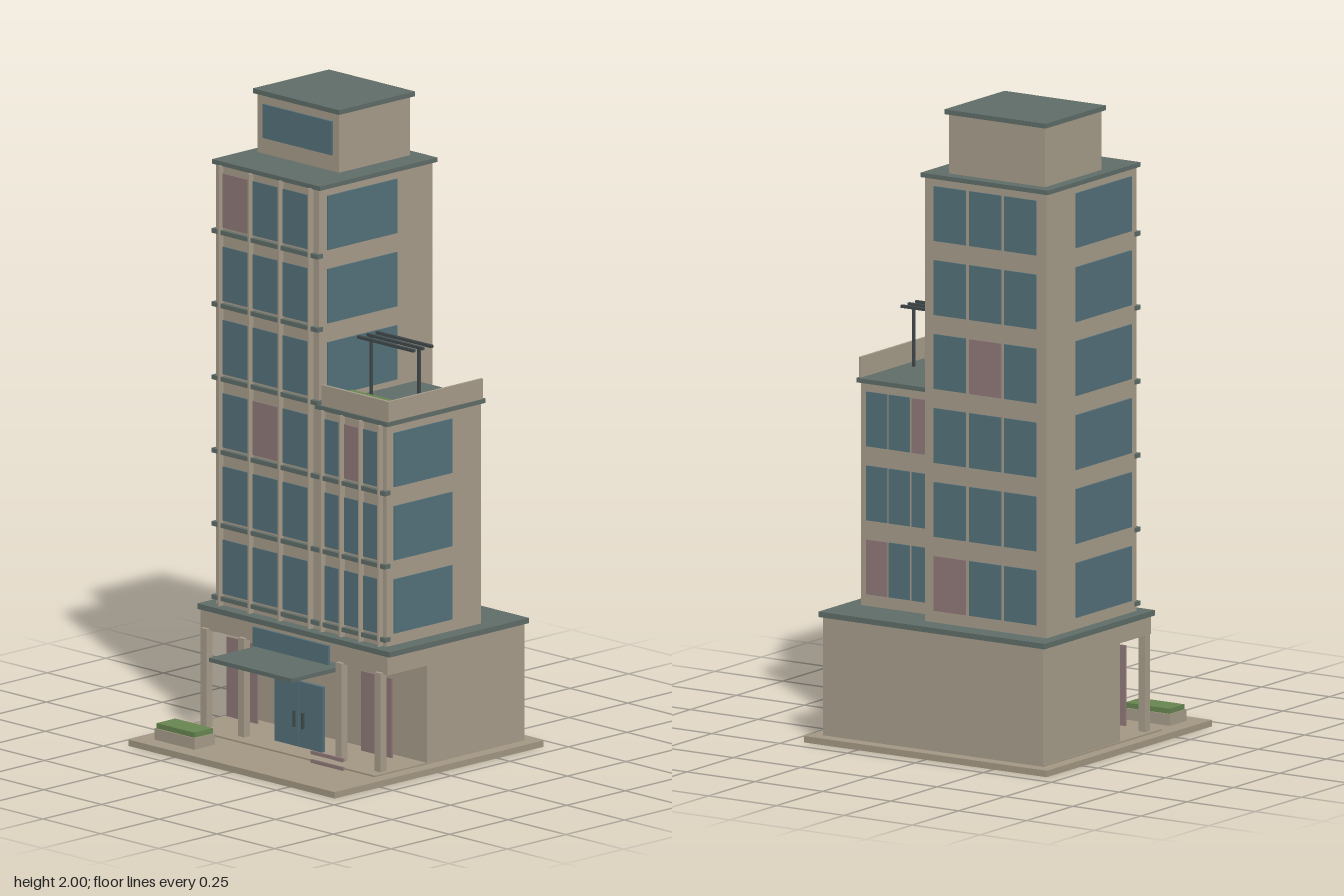
import * as THREE from 'three';

const mat = (name, color) => {
  const m = new THREE.MeshStandardMaterial({ color });
  m.name = name;
  return m;
};

export function createModel() {
  const stone = mat('warm stone', 0xa69c8a);
  const paving = mat('paving', 0xa39783);
  const roof = mat('grey green roofing', 0x5f6d68);
  const glass = mat('blue glass', 0x53707a);
  const blind = mat('rose blind', 0x8f7879);
  const plant = mat('planting', 0x678550);
  const metal = mat('dark metal', 0x40494b);

  const model = new THREE.Group();
  model.name = 'cornerTower';

  // Box given by its minimum and maximum on each axis
  const box = (parent, name, material, x0, x1, y0, y1, z0, z1) => {
    const mesh = new THREE.Mesh(new THREE.BoxGeometry(x1 - x0, y1 - y0, z1 - z0), material);
    mesh.position.set((x0 + x1) / 2, (y0 + y1) / 2, (z0 + z1) / 2);
    mesh.name = name;
    parent.add(mesh);
    return mesh;
  };
  const group = (name) => {
    const g = new THREE.Group();
    g.name = name;
    model.add(g);
    return g;
  };

  // Ground slab and entrance step
  const ground = group('ground');
  box(ground, 'plazaSlab', paving, -0.447, 0.447, 0, 0.02, -0.447, 0.445);
  box(ground, 'entranceStep', paving, -0.408, 0.404, 0.02, 0.025, -0.405, 0.232);

  // Podium with a recessed, colonnaded front
  const podium = group('podium');
  box(podium, 'podiumHall', stone, -0.405, 0.405, 0.02, 0.388, -0.406, 0.01);
  box(podium, 'frontBeam', stone, -0.405, 0.405, 0.33, 0.388, 0.01, 0.178);
  box(podium, 'podiumRoof', roof, -0.417, 0.415, 0.388, 0.405, -0.415, 0.18);
  for (const x of [-0.379, -0.217, 0.206, 0.374])
    box(podium, 'column', stone, x - 0.0125, x + 0.0125, 0.025, 0.335, 0.165, 0.191);

  // Entrance: doors, shop panels, fascia and canopy
  const entrance = group('entrance');
  for (const side of [-1, 1]) {
    const inner = -0.01 + side * 0.001, outer = -0.01 + side * 0.104;
    box(entrance, 'doorLeaf', glass, Math.min(inner, outer), Math.max(inner, outer), 0.025, 0.23, 0.138, 0.15);
    const hx = -0.006 + side * 0.019;
    box(entrance, 'doorHandle', metal, hx - 0.003, hx + 0.003, 0.085, 0.135, 0.15, 0.158);
    box(entrance, 'shopPanel', blind, side * 0.291 - 0.066, side * 0.291 + 0.066, 0.05, 0.3, 0.107, 0.115);
  }
  box(entrance, 'fasciaGlass', glass, -0.171, 0.155, 0.318, 0.378, 0.178, 0.187);
  box(entrance, 'canopy', roof, -0.186, 0.17, 0.296, 0.309, 0.127, 0.357);

  // Low rail in the plaza
  const rail = group('plazaRail');
  for (const y of [0.05, 0.077])
    box(rail, 'railBar', blind, 0.224, 0.363, y, y + 0.011, 0.321, 0.328);

  // Planters
  const planter = (name, x0, x1, y0, y1, z0, z1) => {
    const g = group(name);
    box(g, 'planterBox', stone, x0, x1, y0, y1, z0, z1);
    box(g, 'planterGreen', plant, x0 + 0.004, x1 - 0.004, y1, y1 + 0.016, z0 + 0.004, z1 - 0.004);
  };
  planter('plazaPlanter', -0.39, -0.218, 0.02, 0.056, 0.301, 0.389);
  planter('terracePlanter', 0.122, 0.343, 1.112, 1.138, 0.05, 0.106);

  // A glazed block: body, roof, fins, floor bands and windows
  const STOREY = 0.23, SILL = 0.442, HEAD = 0.612;
  const block = (o) => {
    const g = group(o.name);
    box(g, o.name + 'Body', stone, o.x0, o.x1, 0.405, o.top, o.z0, 0.14);
    box(g, o.name + 'Roof', roof, o.x0 - 0.01, o.x1 + 0.01, o.top, o.top + 0.014, o.z0 - 0.01, 0.147);
    for (let i = 0; i <= 3; i++) {
      const x = o.fin0 + i * o.bay;
      box(g, 'fin', stone, x - 0.003, x + 0.003, 0.405, o.top + 0.002, 0.14, 0.16);
    }
    for (let f = 0; f < o.floors; f++) {
      const y0 = SILL + f * STOREY, y1 = HEAD + f * STOREY;
      box(g, 'floorBand', roof, o.x0 - 0.006, o.x1 + 0.006, y0 - 0.021, y0 - 0.007, 0.13, 0.153);
      for (let b = 0; b < 3; b++) {
        const c = o.fin0 + (b + 0.5) * o.bay, key = f + '-' + b;
        const wf = o.bay * 0.49, wb = o.bay * 0.45;
        box(g, 'frontWindow', o.frontBlinds.includes(key) ? blind : glass, c - wf, c + wf, y0, y1, 0.139, 0.144);
        box(g, 'backWindow', o.backBlinds.includes(key) ? blind : glass, c - wb, c + wb, y0, y1, o.z0 - 0.005, o.z0 + 0.001);
      }
      if (f >= o.leftFrom)
        box(g, 'leftWindow', glass, o.x1 - 0.001, o.x1 + 0.005, y0, y1, o.side0, o.side1);
      if (o.rightSide)
        box(g, 'rightWindow', glass, o.x0 - 0.005, o.x0 + 0.001, y0, y1, o.side0, o.side1);
    }
    return g;
  };
  block({
    name: 'tower', x0: -0.377, x1: 0.07, z0: -0.345, top: 1.786, floors: 6, fin0: -0.347, bay: 0.1297,
    side0: -0.19, side1: 0.107, leftFrom: 3, rightSide: true,
    frontBlinds: ['5-0', '2-1'], backBlinds: ['3-1', '0-2'],
  });
  const wing = block({
    name: 'wing', x0: 0.07, x1: 0.362, z0: -0.263, top: 1.098, floors: 3, fin0: 0.095, bay: 0.083,
    side0: -0.137, side1: 0.111, leftFrom: 0, rightSide: false,
    frontBlinds: ['2-1'], backBlinds: ['2-0', '0-2'],
  });

  // Terrace parapet on the wing's front and outer side
  box(wing, 'frontParapet', stone, 0.08, 0.37, 1.112, 1.176, 0.13, 0.14);
  box(wing, 'sideParapet', stone, 0.362, 0.37, 1.112, 1.176, -0.263, 0.13);

  // Terrace pergola
  const pergola = group('pergola');
  for (const x of [0.113, 0.32])
    box(pergola, 'pergolaPost', metal, x - 0.004, x + 0.004, 1.112, 1.302, -0.044, -0.036);
  for (const z of [-0.078, -0.04, -0.001])
    box(pergola, 'pergolaSlat', metal, 0.097, 0.339, 1.3, 1.309, z - 0.005, z + 0.005);

  // Rooftop penthouse
  const penthouse = group('penthouse');
  box(penthouse, 'penthouseBody', stone, -0.352, 0.002, 1.8, 1.985, -0.316, -0.012);
  box(penthouse, 'penthouseRoof', roof, -0.361, 0.012, 1.985, 2, -0.327, -0.002);
  box(penthouse, 'penthouseWindow', glass, -0.322, -0.024, 1.851, 1.957, -0.012, -0.005);

  return model;
}
